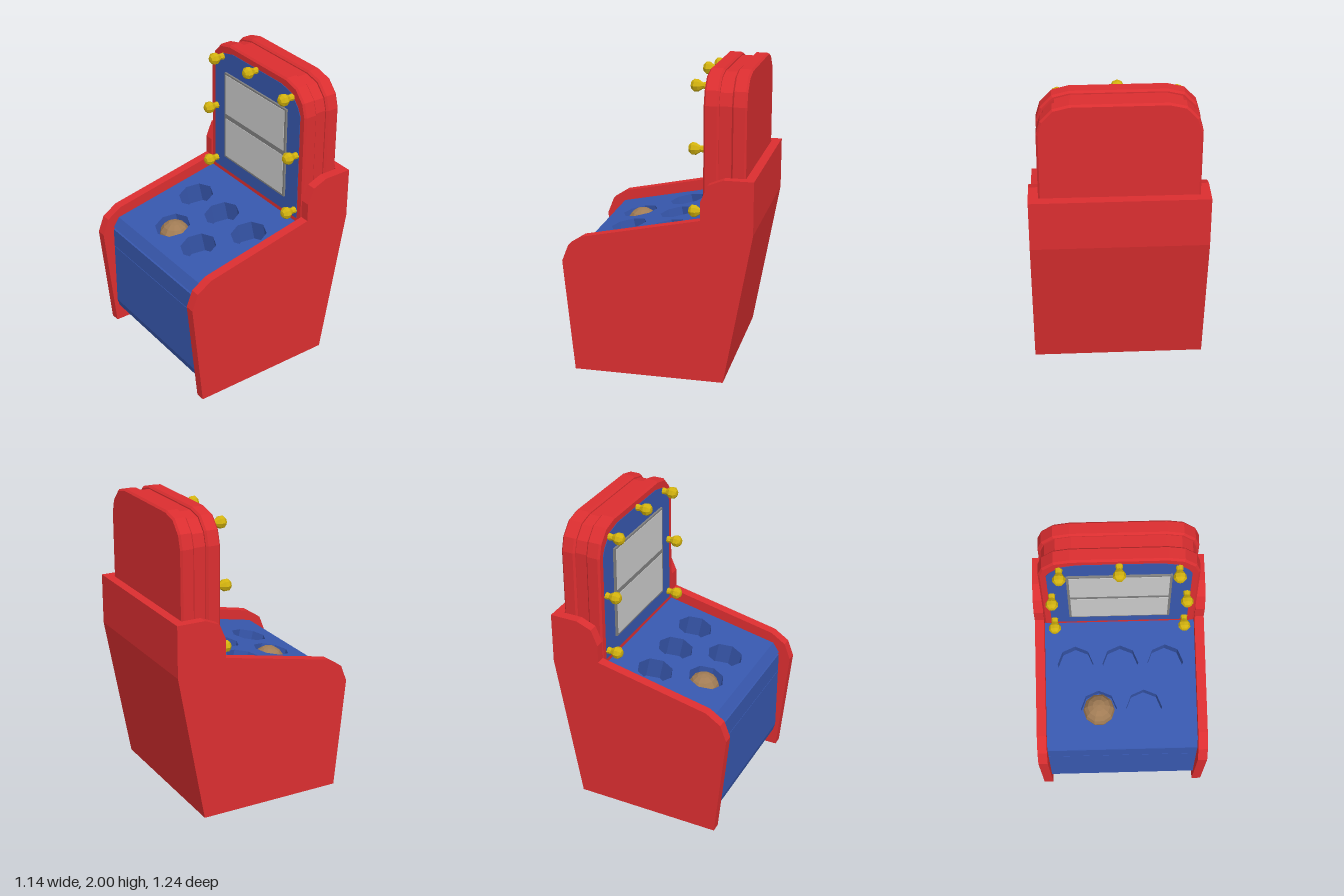
import * as THREE from 'three';

const mat = (name, color, side = THREE.FrontSide) => {
  const m = new THREE.MeshStandardMaterial({ color, side, flatShading: true });
  m.name = name;
  return m;
};

const shapeOf = (pts) => new THREE.Shape(pts.map(([a, b]) => new THREE.Vector2(a, b)));

// Extrude a (z, y) profile across x, from x0 to x1
function prism(pts, x0, x1) {
  const g = new THREE.ExtrudeGeometry(shapeOf(pts), { depth: x1 - x0, bevelEnabled: false });
  return g.rotateY(-Math.PI / 2).translate(x1, 0, 0);
}

// Arched outline with chamfered upper corners, shrunk by an inset
function arch(inset, bottom) {
  const w = 0.505 - inset, t = 2 - inset;
  const half = [[w, bottom], [w, 1.8], [w - 0.025, t - 0.1], [w - 0.095, t - 0.025], [w - 0.195, t]];
  return shapeOf([...half, ...half.map(([x, y]) => [-x, y]).reverse()]);
}

export function createModel() {
  const red = mat('red', 0xdb2e30);
  const blue = mat('blue', 0x3757ad);
  const yellow = mat('yellow', 0xd2b20e);
  const brown = mat('brown', 0xa17c55);
  const grey = mat('grey', 0x808080);
  const pale = mat('paleGrey', 0xcacaca);

  const model = new THREE.Group();
  model.name = 'arcadeCabinet';
  const add = (name, geometry, material, parent = model) => {
    const mesh = new THREE.Mesh(geometry, material);
    mesh.name = name;
    parent.add(mesh);
    return mesh;
  };

  // Side panels
  const side = [[0.55, 0], [0.623, 0.75], [0.58, 0.86], [0.48, 0.925], [-0.285, 1.085],
    [-0.285, 1.21], [-0.33, 1.315], [-0.43, 1.355], [-0.62, 1.355], [-0.62, 1.01], [-0.44, 0]];
  add('leftSidePanel', prism(side, 0.505, 0.568), red);
  add('rightSidePanel', prism(side, -0.568, -0.505), red);

  // Back panel
  const back = [[-0.62, 1.355], [-0.62, 1.01], [-0.44, 0], [-0.38, 0], [-0.56, 1.01], [-0.56, 1.355]];
  add('backPanel', prism(back, -0.505, 0.505), red);

  // Front body with an overhanging lip and a shallow seam
  const body = [[0.495, 0.85], [0.54, 0.785], [0.515, 0.783], [0.515, 0.77], [0.54, 0.768],
    [0.54, 0.634], [0.535, 0.632], [0.54, 0.63], [0.54, 0.175], [0.525, 0.12], [0.505, 0.105],
    [-0.4, 0.105], [-0.5, 0.8], [-0.33, 0.85], [0.462, 0.69]];
  add('frontBody', prism(body, -0.505, 0.505), blue);

  // Sloping deck with octagonal wells
  const slope = Math.atan2(0.16, 0.78), depth = 0.15;
  const deck = new THREE.Group();
  deck.name = 'deck';
  deck.position.set(0, 0.85, 0.495);
  deck.rotation.x = slope - Math.PI / 2;
  model.add(deck);
  const length = 0.965 / Math.cos(slope);
  const plate = shapeOf([[-0.505, 0], [0.505, 0], [0.505, length], [-0.505, length]]);
  const wells = [[-0.303, -0.01], [0, -0.01], [0.303, -0.01], [-0.152, 0.288], [0.152, 0.288]];
  for (const [x, z] of wells) {
    const v = (0.495 - z) / Math.cos(slope);
    const rim = new THREE.Path();
    for (let i = 0; i < 8; i++) {
      const a = i * Math.PI / 4;
      rim[i ? 'lineTo' : 'moveTo'](x + 0.121 * Math.cos(a), v + 0.121 * Math.sin(a));
    }
    rim.closePath();
    plate.holes.push(rim);
    add('wellFloor', new THREE.CircleGeometry(0.123, 8).translate(x, v, 0.002 - depth), blue, deck);
  }
  add('deckPlate', new THREE.ExtrudeGeometry(plate, { depth, bevelEnabled: false }).translate(0, 0, -depth), blue, deck);

  // Round target peeking out of one well
  add('target', new THREE.SphereGeometry(0.107, 10, 8).translate(-0.152, 0.81, 0.27), brown);

  // Upright display board in three layers, the middle one inset
  const bevel = 0.012;
  const layer = (name, z0, z1) => add(name, new THREE.ExtrudeGeometry(arch(bevel, 1.02), {
    depth: z1 - z0 - 2 * bevel, bevelThickness: bevel, bevelSize: bevel, bevelSegments: 1,
  }).translate(0, 0, z0 + bevel), red);
  layer('boardFront', -0.383, -0.287);
  layer('boardBack', -0.557, -0.463);
  add('boardCore', new THREE.ExtrudeGeometry(arch(0.02, 1.02), { depth: 0.1, bevelEnabled: false })
    .translate(0, 0, -0.473), red);
  add('boardFace', new THREE.ExtrudeGeometry(arch(0.05, 1.05), { depth: 0.006, bevelEnabled: false })
    .translate(0, 0, -0.29), blue);

  // Framed double screen
  add('screenFrame', new THREE.BoxGeometry(0.664, 0.64, 0.02).translate(0, 1.478, -0.281), grey);
  for (const [name, y] of [['upperScreen', 1.641], ['lowerScreen', 1.317]]) {
    add(name, new THREE.BoxGeometry(0.632, 0.288, 0.004).translate(0, y, -0.27), pale);
  }

  // Light bulbs around the board
  const bulb = new THREE.LatheGeometry([[0.024, 0], [0.02, 0.03], [0.04, 0.06], [0.04, 0.085], [0.022, 0.104], [0, 0.107]]
    .map(([r, y]) => new THREE.Vector2(r, y)), 8).rotateX(Math.PI / 2);
  const spots = [[0, 1.94], [0.37, 1.9], [-0.37, 1.9], [0.433, 1.512], [-0.433, 1.512], [0.433, 1.105], [-0.433, 1.105]];
  for (const [x, y] of spots) add('bulb', bulb, yellow).position.set(x, y, -0.287);

  return model;
}
